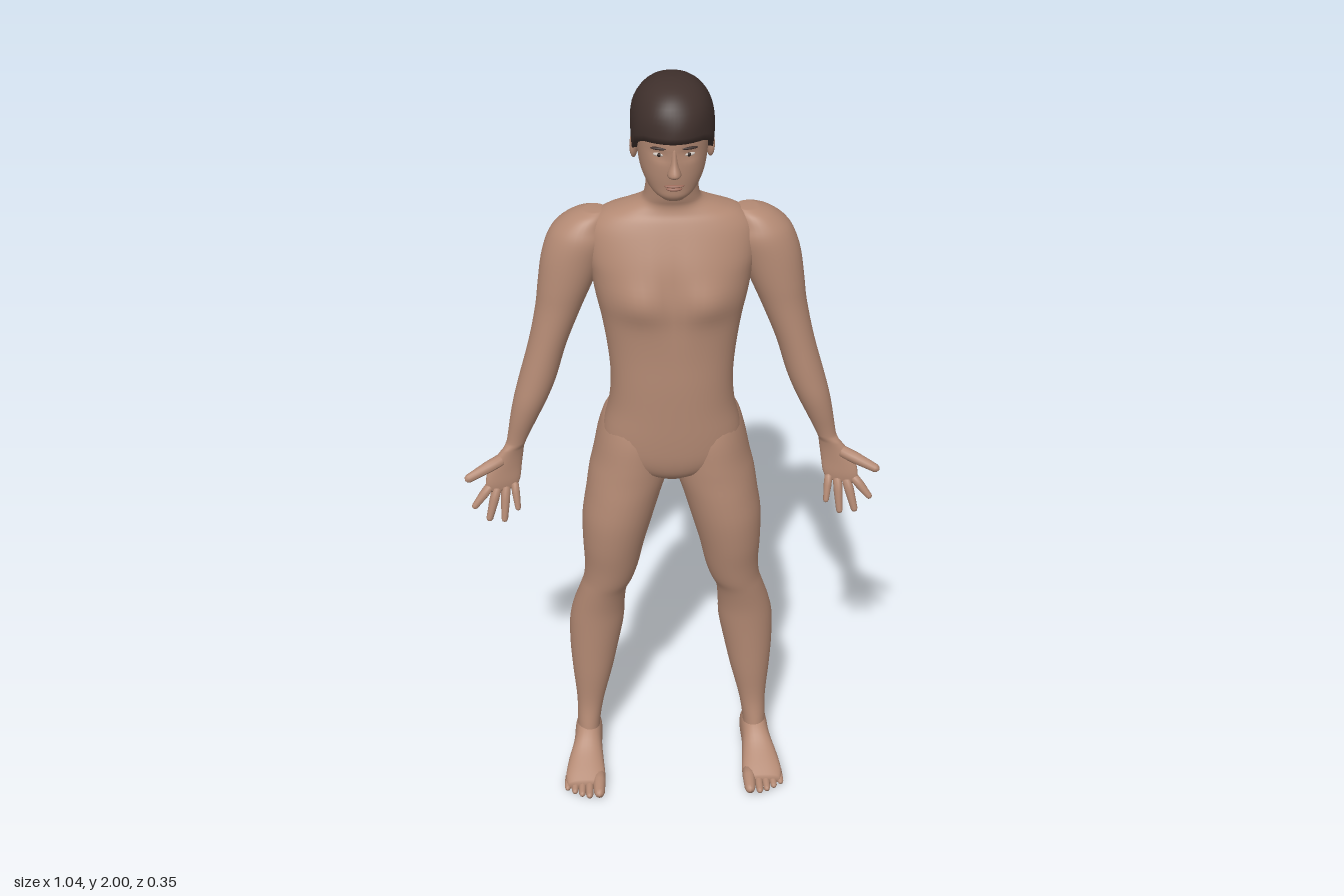
import * as THREE from 'three';

const mat = (name, color) => Object.assign(new THREE.MeshStandardMaterial({ color }), { name });
const skin = mat('skin', 0xb48a74);
const hairBrown = mat('hair brown', 0x3f302c);
const lipTone = mat('lip', 0x9a6a5a);
const eyeWhite = mat('eye white', 0xcfc4bc);
const iris = mat('iris', 0x2c211d);

const spline = (a, b, c, d, t) =>
  b + 0.5 * t * (c - a + t * (2 * a - 5 * b + 4 * c - d + t * (3 * (b - c) + d - a)));
const spow = (v, p) => Math.sign(v) * Math.abs(v) ** p;
const bump = (v, c, w) => Math.exp(-(((v - c) / w) ** 2));

// Indexed geometry from a closed grid of rings
function grid(rings, flip = false) {
  const n = rings[0].length, pos = rings.flat(2), idx = [];
  for (let i = 0; i < rings.length - 1; i++) {
    for (let j = 0; j < n; j++) {
      const a = i * n + j, b = i * n + (j + 1) % n, c = a + n, d = b + n;
      if (flip) idx.push(a, b, c, b, d, c);
      else idx.push(a, c, b, b, c, d);
    }
  }
  const g = new THREE.BufferGeometry();
  g.setAttribute('position', new THREE.Float32BufferAttribute(pos, 3));
  g.setIndex(idx);
  g.computeVertexNormals();
  return g;
}

// Smooth loft. Section: [along, centre x, half width, low, high]; tweak moves points by a rule
function loft(sections, { axis = 'y', power = 2, seg = 32, sub = 4, tweak } = {}) {
  const first = sections[0], last = sections[sections.length - 1];
  const close = (s) => [s[0], s[1], 0, (s[3] + s[4]) / 2, (s[3] + s[4]) / 2];
  const rows = [];
  for (let i = 0; i < sections.length - 1; i++) {
    const p = [sections[Math.max(i - 1, 0)], sections[i], sections[i + 1], sections[Math.min(i + 2, sections.length - 1)]];
    for (let k = 0; k < sub; k++) {
      rows.push(first.map((_, c) => spline(p[0][c], p[1][c], p[2][c], p[3][c], k / sub)));
    }
  }
  const all = [close(first), ...rows, last, close(last)];
  const rings = all.map(([along, cx, r, lo, hi]) => {
    const ring = [];
    for (let j = 0; j < seg; j++) {
      const t = (j / seg) * Math.PI * 2;
      const u = cx + r * spow(Math.cos(t), 2 / power);
      const v = (lo + hi) / 2 + ((hi - lo) / 2) * spow(Math.sin(t), 2 / power);
      const pt = axis === 'y' ? [u, along, v] : [u, v, along];
      ring.push(tweak ? tweak(...pt, cx) : pt);
    }
    return ring;
  });
  const descending = first[0] > last[0];
  return grid(rings, axis === 'y' ? descending : !descending);
}

// Tapered finger or toe with round ends
function digit(from, to, r0, r1) {
  const a = new THREE.Vector3(...from), b = new THREE.Vector3(...to), len = a.distanceTo(b);
  const profile = [[0, 0], [r0, r0 * 0.6], [r0, len * 0.4], [r1, len - r1], [r1 * 0.7, len - r1 * 0.3], [0, len]];
  const g = new THREE.LatheGeometry(profile.map((p) => new THREE.Vector2(...p)), 12);
  g.applyQuaternion(new THREE.Quaternion().setFromUnitVectors(new THREE.Vector3(0, 1, 0), b.clone().sub(a).normalize()));
  return g.translate(...from);
}

function ball(x, y, z, rx, ry, rz, turn = 0) {
  return new THREE.SphereGeometry(1, 20, 14).scale(rx, ry, rz).rotateY(turn).translate(x, y, z);
}

function mirrored(geo) {
  const g = geo.clone().scale(-1, 1, 1), ix = g.index;
  for (let i = 0; i < ix.count; i += 3) {
    const t = ix.getX(i);
    ix.setX(i, ix.getX(i + 1));
    ix.setX(i + 1, t);
  }
  g.computeVertexNormals();
  return g;
}

export function createModel() {
  const model = new THREE.Group();
  model.name = 'standingFigure';
  const add = (name, geo, material = skin) => {
    const m = new THREE.Mesh(geo, material);
    m.name = name;
    model.add(m);
  };
  const pair = (name, geo, material = skin) => {
    add('left' + name, geo, material);
    add('right' + name, mirrored(geo), material);
  };

  // Torso and neck, with chest muscles and a spine groove
  add('torso', loft([
    [1.78, 0, 0.058, -0.062, 0.045], [1.71, 0, 0.064, -0.07, 0.03], [1.685, 0, 0.08, -0.085, 0.022],
    [1.665, 0, 0.125, -0.103, 0.025], [1.645, 0, 0.17, -0.125, 0.035], [1.61, 0, 0.2, -0.148, 0.05],
    [1.55, 0, 0.203, -0.162, 0.073], [1.5, 0, 0.194, -0.164, 0.085], [1.44, 0, 0.183, -0.158, 0.092],
    [1.38, 0, 0.17, -0.147, 0.088], [1.3, 0, 0.157, -0.131, 0.085], [1.22, 0, 0.15, -0.12, 0.085],
    [1.14, 0, 0.155, -0.13, 0.083], [1.06, 0, 0.172, -0.14, 0.08], [1, 0, 0.165, -0.128, 0.074],
    [0.96, 0, 0.11, -0.09, 0.06], [0.935, 0, 0.04, -0.05, 0.035],
  ], {
    power: 2.25, seg: 56,
    tweak: (x, y, z) => {
      const ax = Math.abs(x);
      if (z > 0.02) z += 0.014 * bump(ax, 0.085, 0.055) * bump(y, 1.46, 0.05) - 0.008 * bump(ax, 0, 0.025) * bump(y, 1.47, 0.1);
      if (z < -0.05) z += 0.014 * bump(ax, 0, 0.03) * bump(y, 1.36, 0.2);
      return [x, y, z];
    },
  }));

  // Arms running into the palms
  pair('Arm', loft([
    [1.648, 0.18, 0.025, -0.08, -0.03], [1.635, 0.195, 0.045, -0.105, -0.01], [1.61, 0.21, 0.064, -0.125, 0.005],
    [1.58, 0.217, 0.078, -0.13, 0.015], [1.53, 0.235, 0.076, -0.122, 0.018], [1.46, 0.255, 0.066, -0.112, 0.018],
    [1.395, 0.273, 0.056, -0.105, 0.016], [1.3, 0.302, 0.047, -0.09, 0.017], [1.21, 0.328, 0.046, -0.08, 0.02],
    [1.15, 0.348, 0.042, -0.069, 0.02], [1.1, 0.365, 0.035, -0.057, 0.014], [1.05, 0.381, 0.027, -0.043, 0.005],
    [1.02, 0.391, 0.024, -0.036, 0.002], [0.99, 0.405, 0.033, -0.034, 0.003], [0.955, 0.419, 0.042, -0.026, 0.008],
    [0.92, 0.425, 0.043, -0.014, 0.012], [0.898, 0.427, 0.036, -0.006, 0.011],
  ], { tweak: (x, y, z, cx) => [x, y, z + (y < 1.02 ? (x - cx) * 0.3 : 0)] }));

  // Fingers: base, tip, radius
  [
    ['Thumb', [0.42, 0.985, -0.005], [0.518, 0.948, 0.038], 0.015],
    ['IndexFinger', [0.455, 0.915, 0.008], [0.502, 0.858, 0.03], 0.0115],
    ['MiddleFinger', [0.439, 0.91, 0.005], [0.464, 0.817, 0.028], 0.012],
    ['RingFinger', [0.418, 0.91, 0], [0.425, 0.812, 0.026], 0.0115],
    ['LittleFinger', [0.397, 0.915, -0.005], [0.389, 0.842, 0.02], 0.01],
  ].forEach(([name, a, b, r]) => pair(name, digit(a, b, r, r * 0.72)));

  // Legs from the buttocks to the ankles
  pair('Leg', loft([
    [1.14, 0.085, 0.04, -0.115, 0], [1.1, 0.088, 0.075, -0.157, 0.05], [1.05, 0.092, 0.09, -0.174, 0.066],
    [0.98, 0.1, 0.097, -0.166, 0.07], [0.93, 0.109, 0.1, -0.152, 0.071], [0.87, 0.123, 0.095, -0.138, 0.073],
    [0.8, 0.138, 0.09, -0.129, 0.071], [0.72, 0.149, 0.079, -0.115, 0.06], [0.65, 0.155, 0.07, -0.106, 0.045],
    [0.6, 0.164, 0.064, -0.101, 0.034], [0.56, 0.178, 0.061, -0.102, 0.023], [0.5, 0.19, 0.067, -0.118, 0.011],
    [0.44, 0.197, 0.071, -0.131, 0.005], [0.36, 0.205, 0.064, -0.126, 0], [0.28, 0.211, 0.053, -0.111, -0.004],
    [0.18, 0.219, 0.036, -0.087, -0.01], [0.11, 0.225, 0.031, -0.088, 0], [0.05, 0.226, 0.03, -0.09, 0.01],
  ]));

  // Feet and toes
  pair('Foot', loft([
    [-0.115, 0.224, 0.014, 0.02, 0.05], [-0.104, 0.224, 0.029, 0.005, 0.078], [-0.06, 0.225, 0.036, 0, 0.12],
    [0, 0.229, 0.038, 0, 0.104], [0.05, 0.235, 0.047, 0, 0.072], [0.1, 0.238, 0.053, 0, 0.046],
    [0.13, 0.238, 0.047, 0.003, 0.03],
  ], { axis: 'z', power: 2.3 }));
  for (let i = 0; i < 5; i++) {
    const r = i ? 0.0115 - i * 0.0005 : 0.017;
    const x = i ? 0.209 + i * 0.0185 : 0.202;
    pair('Toe' + (i + 1), digit([x, r + 0.008, 0.085], [x + i * 0.001, r, [0.175, 0.172, 0.164, 0.152, 0.137][i]], r, r * 0.85));
  }

  // Head with jaw, brow ridge and eye sockets
  add('head', loft([
    [1.995, 0, 0.02, -0.03, 0.03], [1.98, 0, 0.05, -0.07, 0.06], [1.95, 0, 0.074, -0.094, 0.088],
    [1.9, 0, 0.084, -0.107, 0.106], [1.85, 0, 0.083, -0.102, 0.107], [1.8, 0, 0.076, -0.078, 0.104],
    [1.765, 0, 0.062, -0.04, 0.099], [1.745, 0, 0.046, -0.005, 0.096], [1.731, 0, 0.026, 0.03, 0.086],
  ], {
    power: 2.2, seg: 48,
    tweak: (x, y, z) => [x, y, z > 0.05 ? z - 0.007 * bump(Math.abs(x), 0.034, 0.018) * bump(y, 1.853, 0.012) : z],
  }));
  add('nose', loft([
    [1.87, 0, 0.007, 0.08, 0.107], [1.835, 0, 0.009, 0.08, 0.116], [1.812, 0, 0.015, 0.08, 0.127],
    [1.803, 0, 0.016, 0.08, 0.124], [1.798, 0, 0.011, 0.085, 0.113],
  ], { seg: 16 }));
  add('upperLip', ball(0, 1.775, 0.098, 0.023, 0.004, 0.009), lipTone);
  add('lowerLip', ball(0, 1.767, 0.097, 0.019, 0.005, 0.009), lipTone);
  pair('Ear', ball(0.088, 1.832, -0.008, 0.009, 0.032, 0.018, 0.35));
  pair('Eye', ball(0.034, 1.852, 0.092, 0.014, 0.005, 0.007, 0.25), eyeWhite);
  pair('Iris', ball(0.034, 1.852, 0.0965, 0.0048, 0.0048, 0.004, 0.25), iris);
  pair('Brow', ball(0.036, 1.869, 0.0985, 0.019, 0.0035, 0.005, 0.3), hairBrown);

  // Short hair: lower edge runs from fringe to sideburn, over the ear and down to the nape
  const edge = [1.785, 1.79, 1.815, 1.855, 1.83, 1.865, 1.882, 1.887];
  const rings = [];
  for (let i = 0; i <= 14; i++) {
    const ring = [];
    for (let j = 0; j < 56; j++) {
      const t = (j / 56) * Math.PI * 2, f = ((Math.sin(t) + 1) / 2) * 7, k = Math.min(Math.floor(f), 6);
      const low = THREE.MathUtils.lerp(edge[k], edge[k + 1], f - k);
      const s = Math.max(i - 1, 0) / 13, y = low + (2 - low) * Math.sin((s * Math.PI) / 2);
      const h = (y - 1.89) / 0.11;
      let r = h > 0 ? Math.max(0, 1 - h ** 2.4) ** (1 / 2.4) : 1 - 0.16 * h * h;
      r *= i === 0 ? 0.82 : 1 + 0.012 * Math.sin(5 * t + 9 * s) * (1 - s);
      ring.push([0.097 * r * Math.cos(t), y, -0.001 + 0.122 * r * Math.sin(t)]);
    }
    rings.push(ring);
  }
  add('hair', grid(rings), hairBrown);

  return model;
}
